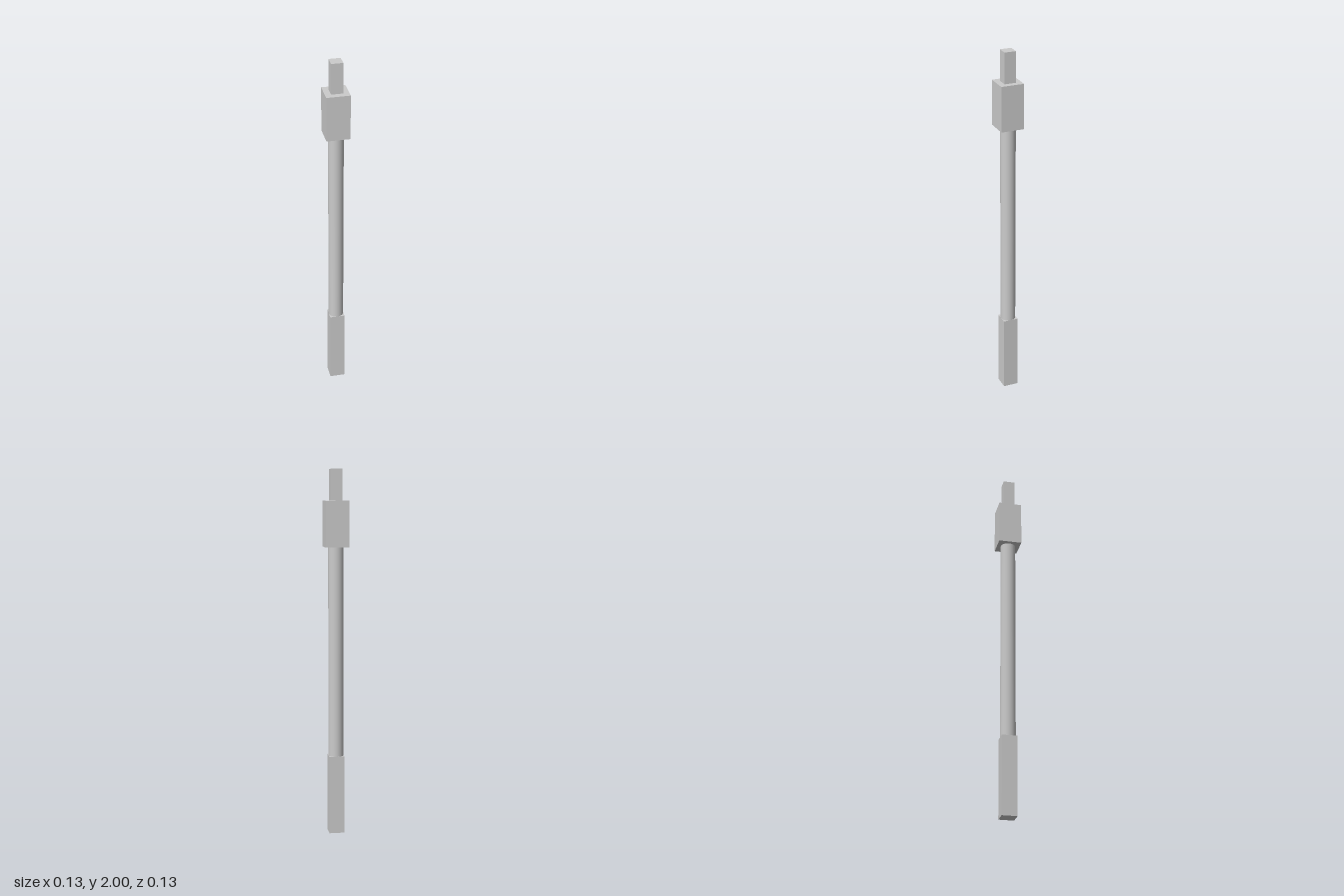
import * as THREE from 'three';

export function createModel() {
  const group = new THREE.Group();
  const material = new THREE.MeshStandardMaterial({ color: 0xcccccc });

  // Places a part so that it spans from y = bottom to y = top
  const add = (name, geometry, bottom, top) => {
    const mesh = new THREE.Mesh(geometry, material);
    mesh.name = name;
    mesh.position.y = (bottom + top) / 2;
    group.add(mesh);
  };
  const squareBar = (name, width, bottom, top) =>
    add(name, new THREE.BoxGeometry(width, top - bottom, width), bottom, top);

  // Square foot, round shaft, wide block and narrow tip, stacked upwards
  squareBar('foot', 0.083, 0, 0.434);
  add('shaft', new THREE.CylinderGeometry(0.0415, 0.0415, 1.15, 48), 0.434, 1.584);
  squareBar('block', 0.127, 1.584, 1.832);
  squareBar('tip', 0.063, 1.832, 2);

  return group;
}
